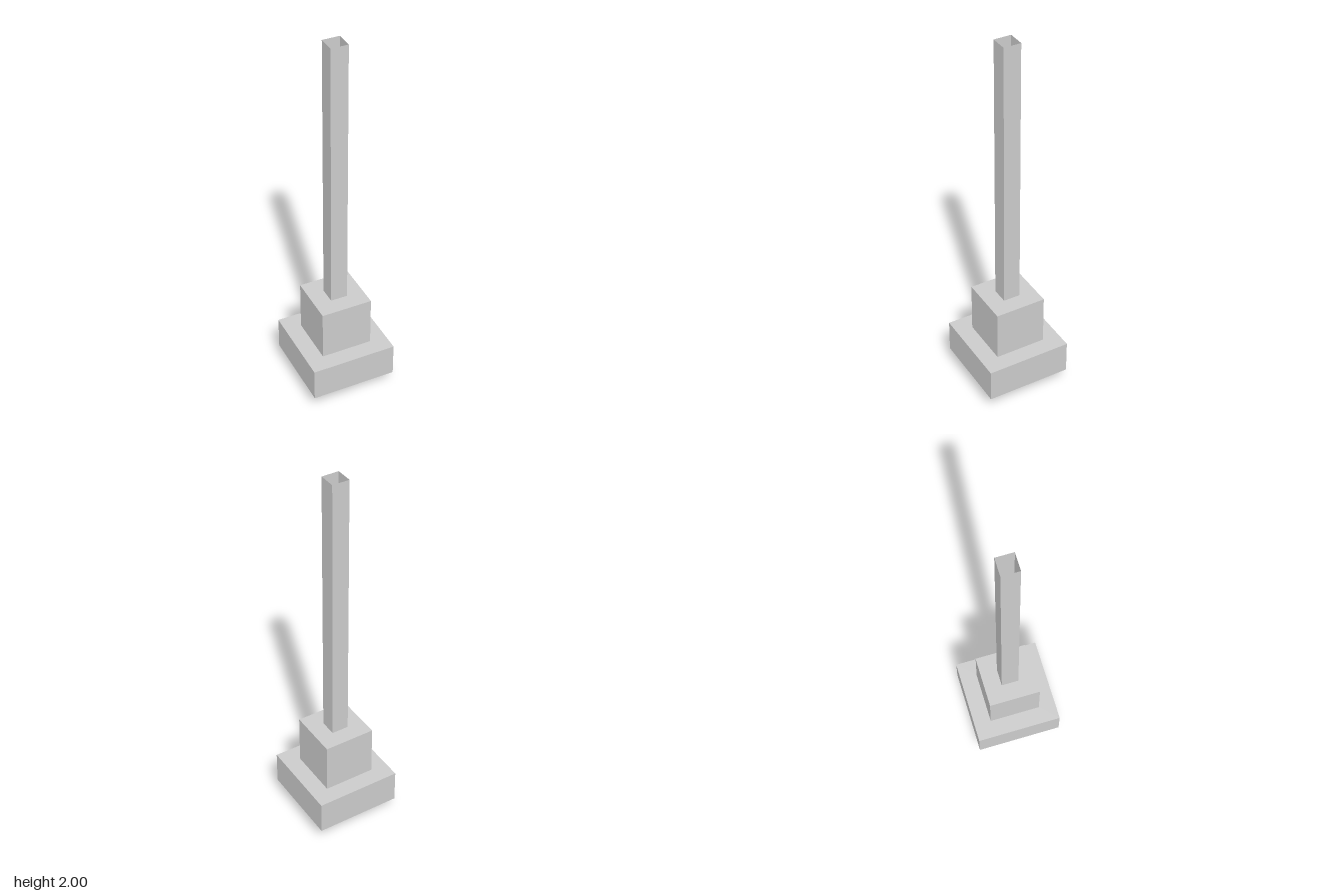
import * as THREE from 'three';

export function createModel() {
  const model = new THREE.Group();
  const grey = new THREE.MeshStandardMaterial({ color: 0xcccccc, flatShading: true });
  const thinGrey = new THREE.MeshStandardMaterial({ color: 0xcccccc, flatShading: true, side: THREE.DoubleSide });

  // Square block spanning two heights
  function block(name, width, bottom, top) {
    const mesh = new THREE.Mesh(new THREE.BoxGeometry(width, top - bottom, width), grey);
    mesh.name = name;
    mesh.position.y = (bottom + top) / 2;
    model.add(mesh);
  }

  // Stepped base: foot, wide collar and socket
  block('foot', 0.273, 0, 0.093);
  block('collar', 0.455, 0.093, 0.273);
  block('socket', 0.273, 0.273, 0.546);

  // Thin-walled square shaft, open at the top
  const width = 0.091, bottom = 0.546, top = 2;
  const radius = width / Math.SQRT2;
  const shaft = new THREE.Mesh(
    new THREE.CylinderGeometry(radius, radius, top - bottom, 4, 1, true, Math.PI / 4),
    thinGrey
  );
  shaft.name = 'shaft';
  shaft.position.y = (bottom + top) / 2;
  model.add(shaft);

  return model;
}
